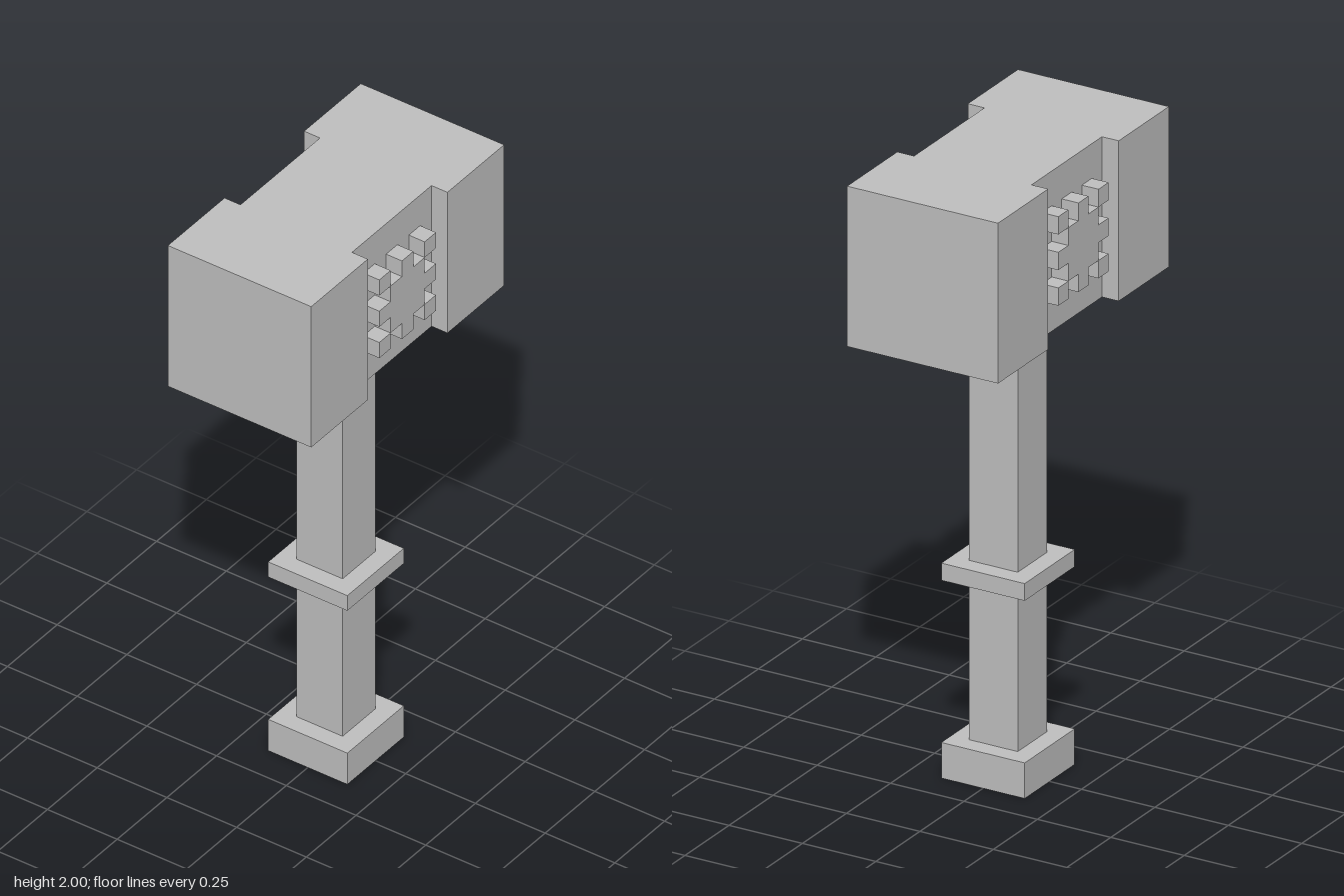
import * as THREE from 'three';

const CELL = 0.057;       // grid unit of the emblem
const HEAD_BOTTOM = 1.487;
const HEAD_Z = 0.257;     // half depth of the head ends
const WAIST_Z = 0.2;      // half depth of the recessed middle

export function createModel() {
  const stone = new THREE.MeshStandardMaterial({ color: 0xc0c0c0 });
  stone.name = 'light grey';
  const model = new THREE.Group();
  model.name = 'hammer';

  const add = (parent, name, geometry) => {
    const mesh = new THREE.Mesh(geometry, stone);
    mesh.name = name;
    parent.add(mesh);
    return mesh;
  };
  // Square block spanning y0 to y1
  const block = (name, half, y0, y1) => {
    add(model, name, new THREE.BoxGeometry(half * 2, y1 - y0, half * 2))
      .position.y = (y0 + y1) / 2;
  };

  // Handle, built bottom to top
  block('pommel', 0.142, 0, 0.114);
  block('lowerHandle', 0.083, 0.114, 0.633);
  block('handleRing', 0.142, 0.633, 0.688);
  block('upperHandle', 0.083, 0.688, HEAD_BOTTOM);

  // Head: a block with a wide groove on the front and back
  const plan = new THREE.Shape([
    [-0.485, -HEAD_Z], [-0.2, -HEAD_Z], [-0.2, -WAIST_Z], [0.2, -WAIST_Z],
    [0.2, -HEAD_Z], [0.485, -HEAD_Z], [0.485, HEAD_Z], [0.2, HEAD_Z],
    [0.2, WAIST_Z], [-0.2, WAIST_Z], [-0.2, HEAD_Z], [-0.485, HEAD_Z],
  ].map(([x, y]) => new THREE.Vector2(x, y)));
  const head = new THREE.ExtrudeGeometry(plan, { depth: 2 - HEAD_BOTTOM, bevelEnabled: false });
  head.rotateX(-Math.PI / 2);
  add(model, 'head', head).position.y = HEAD_BOTTOM;

  // Emblem outline: one quarter turned four times
  const quarter = [[2.5, -0.5], [2.5, 0.5], [1.5, 0.5], [1.5, 1.5], [0.5, 1.5]];
  const outline = [];
  for (let turn = 0; turn < 4; turn++) {
    for (const [x, y] of quarter) {
      const p = new THREE.Vector2(x, y).multiplyScalar(CELL);
      for (let i = 0; i < turn; i++) p.set(-p.y, p.x);
      outline.push(p);
    }
  }
  const depth = HEAD_Z - WAIST_Z;
  const gear = new THREE.ExtrudeGeometry(new THREE.Shape(outline), { depth, bevelEnabled: false });
  const stud = new THREE.BoxGeometry(CELL, CELL, depth);

  // Raised emblem with corner studs on the front and back
  for (const side of ['front', 'back']) {
    const emblem = new THREE.Group();
    emblem.name = side + 'Emblem';
    emblem.position.y = (HEAD_BOTTOM + 2) / 2 + 0.003;
    if (side === 'back') emblem.rotation.y = Math.PI;
    add(emblem, 'gear', gear).position.z = WAIST_Z;
    for (const x of [-2, 2]) {
      for (const y of [-2, 2]) {
        add(emblem, 'cornerStud', stud).position.set(x * CELL, y * CELL, WAIST_Z + depth / 2);
      }
    }
    model.add(emblem);
  }
  return model;
}
